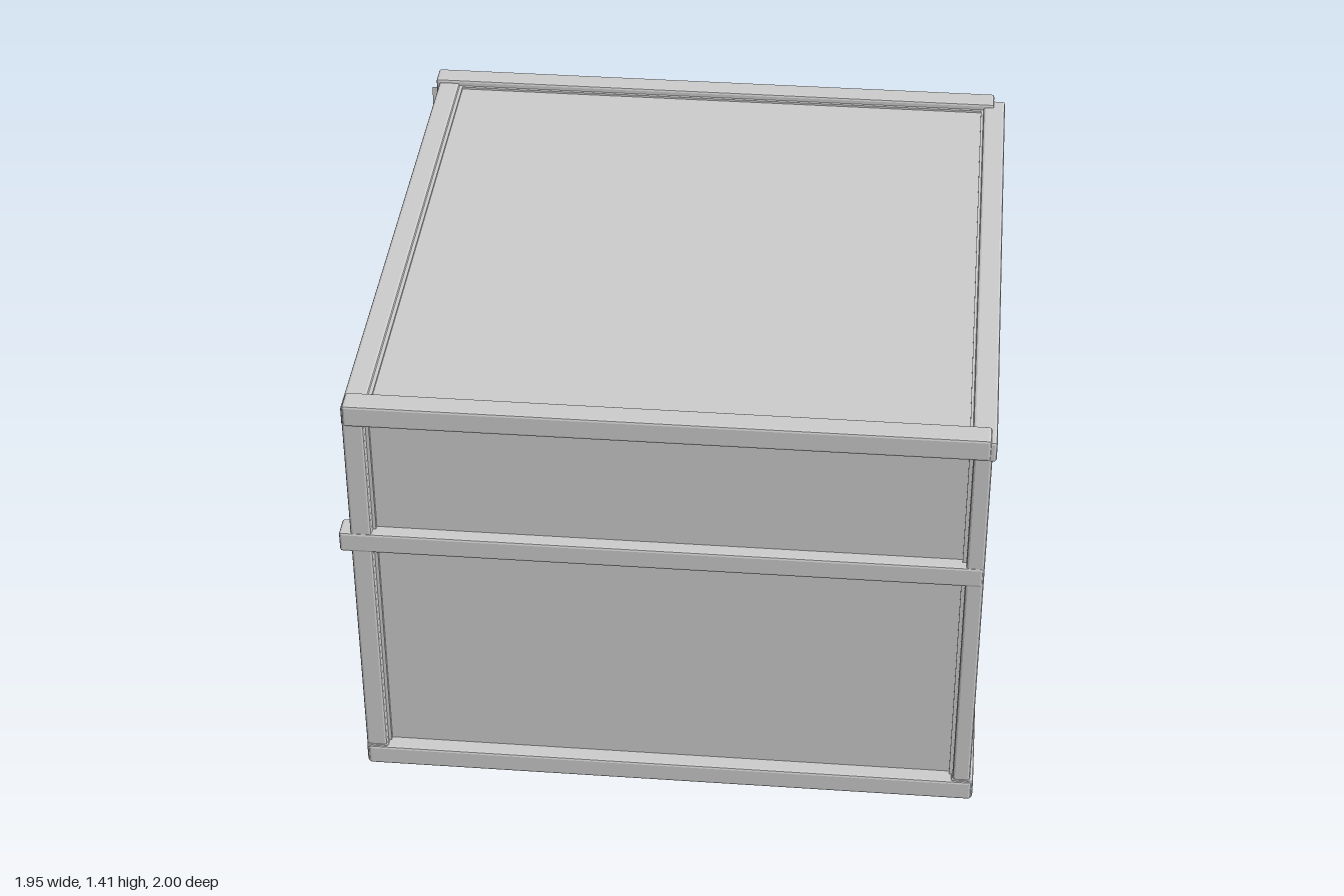
import * as THREE from 'three';
import { RoundedBoxGeometry } from 'three/addons/geometries/RoundedBoxGeometry.js';

const grey = new THREE.MeshStandardMaterial({ color: 0xcccccc, flatShading: true });

export function createModel() {
  const model = new THREE.Group();

  const place = (name, geometry, x, y, z) => {
    const mesh = new THREE.Mesh(geometry, grey);
    mesh.name = name;
    mesh.position.set(x, y, z);
    model.add(mesh);
    return mesh;
  };
  // Boxes are given by their min and max on each axis
  const box = (name, x0, x1, y0, y1, z0, z1) =>
    place(name, new THREE.BoxGeometry(x1 - x0, y1 - y0, z1 - z0), (x0 + x1) / 2, (y0 + y1) / 2, (z0 + z1) / 2);
  const beam = (name, x0, x1, y0, y1, z0, z1) =>
    place(name, new RoundedBoxGeometry(x1 - x0, y1 - y0, z1 - z0, 1, 0.008), (x0 + x1) / 2, (y0 + y1) / 2, (z0 + z1) / 2);

  // Closed cabin: walls, floor and roof in one body
  box('cabinBody', -0.915, 0.935, 0.04, 1.385, -0.925, 0.945);

  // Bottom frame, open at the back
  beam('frontBottomBeam', -0.94, 0.965, 0.01, 0.08, 0.92, 0.995);
  beam('leftBottomBeam', 0.9, 0.97, 0.01, 0.085, -0.945, 0.99);
  beam('rightBottomBeam', -0.945, -0.875, 0.01, 0.085, -0.945, 0.99);
  box('backSill', -0.9, 0.92, 0.025, 0.045, -0.935, -0.9);

  // Top frame, the front and back beams standing slightly higher
  beam('frontTopBeam', -0.94, 0.955, 1.335, 1.408, 0.92, 0.995);
  beam('backTopBeam', -0.955, 0.935, 1.335, 1.412, -0.97, -0.895);
  beam('leftTopBeam', 0.9, 0.972, 1.33, 1.4, -0.945, 0.99);
  beam('rightTopBeam', -0.945, -0.875, 1.33, 1.4, -0.945, 0.99);

  // Corner posts with a thin lip along the inner edges
  beam('frontLeftPost', 0.905, 0.96, 0.05, 1.36, 0.92, 0.985);
  beam('frontRightPost', -0.945, -0.88, 0.05, 1.36, 0.92, 0.985);
  box('backLeftPost', 0.915, 0.945, 0.05, 1.36, -0.945, -0.9);
  box('backRightPost', -0.945, -0.9, 0.03, 1.36, -0.945, -0.9);
  for (const x of [0.9, -0.876]) box('postLip', x - 0.006, x + 0.006, 0.08, 1.335, 0.94, 0.958);
  box('sidePostLip', 0.93, 0.947, 0.085, 1.33, 0.906, 0.92);
  box('rightSidePostLip', -0.93, -0.91, 0.085, 1.33, 0.906, 0.92);

  // Roof lips along the frame
  for (const x of [0.9, -0.872]) box('roofLip', x - 0.008, x + 0.008, 1.38, 1.392, -0.9, 0.925);
  for (const z of [-0.892, 0.92]) box('roofEndLip', -0.88, 0.9, 1.38, 1.392, z - 0.006, z + 0.006);

  // Open-ended corner sleeve at the back right
  const sleeve = new THREE.CylinderGeometry(Math.SQRT1_2, Math.SQRT1_2, 1.32, 4, 1, true);
  sleeve.rotateY(Math.PI / 4).scale(0.04, 1, 0.06);
  place('cornerSleeve', sleeve, -0.958, 0.695, -0.97);

  // Middle rails on the front and right side
  beam('frontMiddleRail', -0.98, 0.957, 0.86, 0.93, 0.915, 0.988);
  beam('rightMiddleRail', -0.945, -0.9, 0.86, 0.93, -0.93, 0.93);

  // Left wall: raised window panel and rear strip
  box('windowPanel', 0.93, 0.948, 0.44, 0.99, -0.49, 0.61);
  box('rearWallStrip', 0.93, 0.938, 0.085, 1.33, -0.93, -0.69);

  // Right wall: door leaf between two seams
  box('doorLeaf', -0.921, -0.91, 0.085, 0.86, -0.45, -0.04);

  // Back shutter: slats separated by narrow gaps
  const seams = [0.05, 0.24, 0.45, 0.67, 0.89, 1.12, 1.335];
  for (let i = 0; i < seams.length - 1; i++) {
    box('shutterSlat', -0.9, 0.915, seams[i] + 0.007, seams[i + 1] - 0.007, -0.94, -0.92);
  }
  box('lowerShutterPanel', -0.88, 0.9, 0.05, 0.225, -0.944, -0.935);

  // Latch bars on the right wall beside the shutter
  for (const y of [0.24, 0.45, 0.66, 1.13]) box('latchBar', -0.94, -0.91, y - 0.012, y + 0.012, -0.92, -0.77);
  box('latchPlate', -0.93, -0.91, 0.12, 0.28, -0.92, -0.77);
  box('topBracket', -0.935, -0.91, 1.31, 1.335, -0.92, -0.76);

  // Underside: two runners at the back and four small pads
  for (const x of [-0.3, 0.3]) box('floorRunner', x - 0.02, x + 0.02, 0.012, 0.045, -0.94, -0.68);
  for (const z of [-0.42, 0.49]) {
    for (const x of [0.6, 0.88]) box('floorPad', x - 0.025, x + 0.025, 0.025, 0.045, z - 0.025, z + 0.025);
  }
  for (const x of [0.935, -0.91]) box('backFoot', x - 0.03, x + 0.03, 0, 0.06, -0.955, -0.9);

  return model;
}
